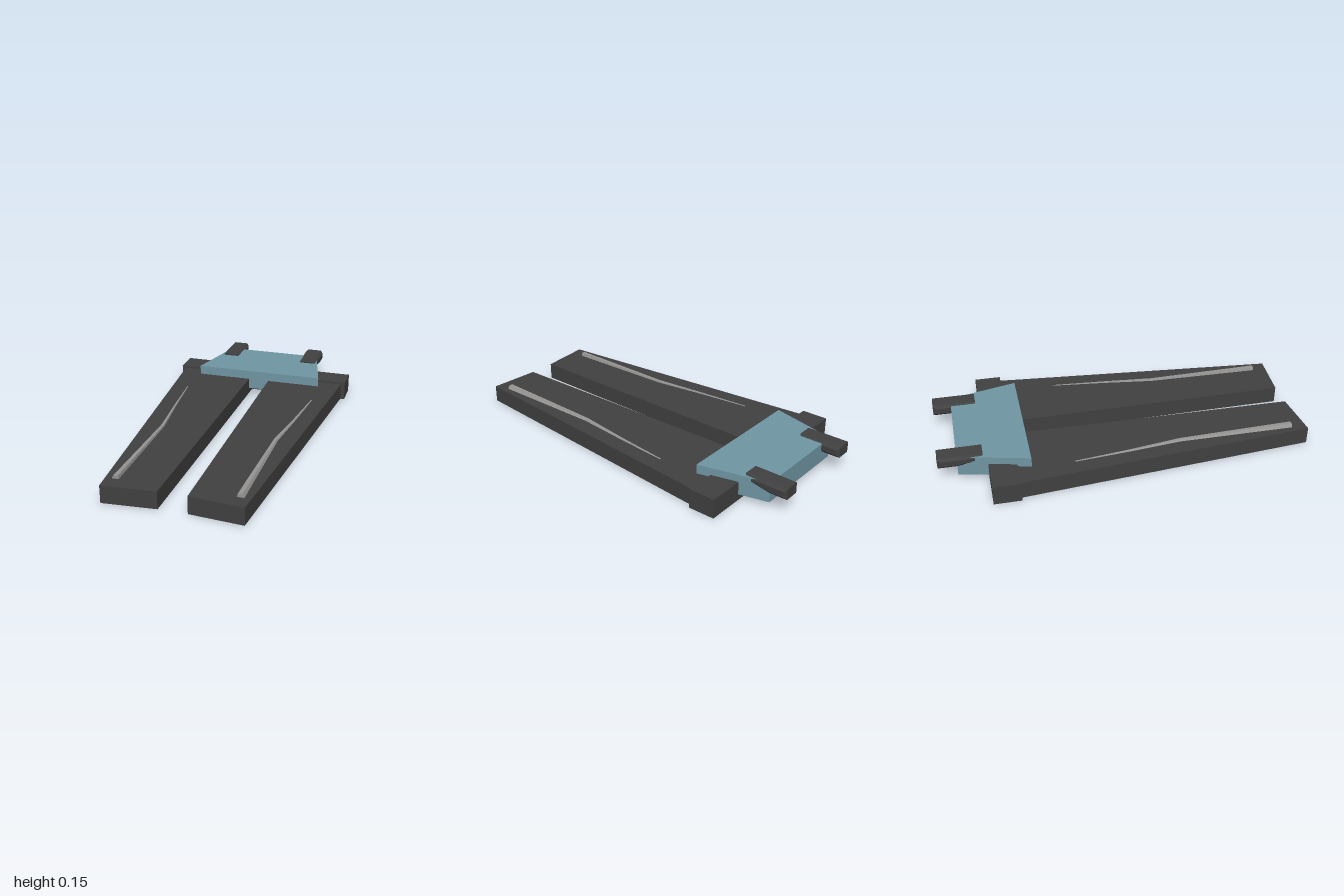
import * as THREE from 'three';

const mat = (name, color, side = THREE.FrontSide) =>
  Object.assign(new THREE.MeshStandardMaterial({ color, side, flatShading: true }), { name });

// Vertical prism from a plan outline of [x, z] points
function prism(points, y0, y1) {
  const shape = new THREE.Shape(points.map(([x, z]) => new THREE.Vector2(x, -z)));
  const geo = new THREE.ExtrudeGeometry(shape, { depth: y1 - y0, bevelEnabled: false });
  return geo.rotateX(-Math.PI / 2).translate(0, y0, 0);
}

// Tapered ridge: sections of [inner x, outer x, z, top y] joined as a low roof
function ridge(s, sections, base) {
  const pos = [], index = [];
  for (const [a, b, z, top] of sections) {
    const w = b - a;
    pos.push(s * a, base, z, s * (a + w * 0.12), top, z, s * (b - w * 0.3), top, z, s * b, base, z);
  }
  const n = sections.length;
  for (let i = 0; i < n - 1; i++) {
    for (let j = 0; j < 4; j++) {
      const a = i * 4 + j, b = i * 4 + (j + 1) % 4;
      index.push(a, b, b + 4, a, b + 4, a + 4);
    }
  }
  const e = (n - 1) * 4;
  index.push(0, 1, 2, 0, 2, 3, e, e + 2, e + 1, e, e + 3, e + 2);
  const geo = new THREE.BufferGeometry();
  geo.setAttribute('position', new THREE.Float32BufferAttribute(pos, 3));
  geo.setIndex(index);
  geo.computeVertexNormals();
  return geo;
}

// Bevelled peg: side profile of [z, y] points extruded across x
function peg(profile, width, bevel) {
  const shape = new THREE.Shape(profile.map(([z, y]) => new THREE.Vector2(-z, y)));
  const geo = new THREE.ExtrudeGeometry(shape, {
    depth: width - 2 * bevel, bevelThickness: bevel, bevelSize: bevel,
    bevelOffset: -bevel, bevelSegments: 1,
  });
  return geo.translate(0, 0, bevel - width / 2).rotateY(Math.PI / 2);
}

export function createModel() {
  const model = new THREE.Group();
  model.name = 'model';
  const dark = mat('darkGrey', 0x414141);
  const blue = mat('slateBlue', 0x7097a4);
  const grey = mat('lightGrey', 0x979694, THREE.DoubleSide);
  const add = (name, geo, material) => {
    const mesh = new THREE.Mesh(geo, material);
    mesh.name = name;
    model.add(mesh);
    return mesh;
  };

  // Bar joining the two prongs
  add('crossbar', new THREE.BoxGeometry(1.044, 0.106, 0.145).translate(0, 0.053, -0.6705), dark);

  // Tapered plate set over the bar
  add('plate', prism([[-0.375, -0.525], [0.372, -0.525], [0.282, -0.9], [-0.282, -0.9]], 0.035, 0.146), blue);

  for (const s of [1, -1]) {
    const side = s > 0 ? 'left' : 'right';

    // Long prong, narrowing towards the front
    add(side + 'Prong', prism([[0.5, -0.61], [0.356, 0.998], [0.075, 0.975], [0.06, -0.61]]
      .map(([x, z]) => [s * x, z]), 0, 0.094), dark);

    // Thin raised ridge along the prong
    add(side + 'Ridge', ridge(s, [
      [0.376, 0.384, -0.3, 0.096], [0.342, 0.358, 0.0, 0.099],
      [0.304, 0.328, 0.28, 0.103], [0.293, 0.331, 0.915, 0.112],
    ], 0.092), grey);

    // Bevelled peg at the back corner
    add(side + 'Peg', peg([[-0.765, 0.154], [-1, 0.154], [-1, 0.095], [-0.9, 0.095], [-0.765, 0.118]],
      0.11, 0.014), dark).position.x = s * 0.25;
  }
  return model;
}
